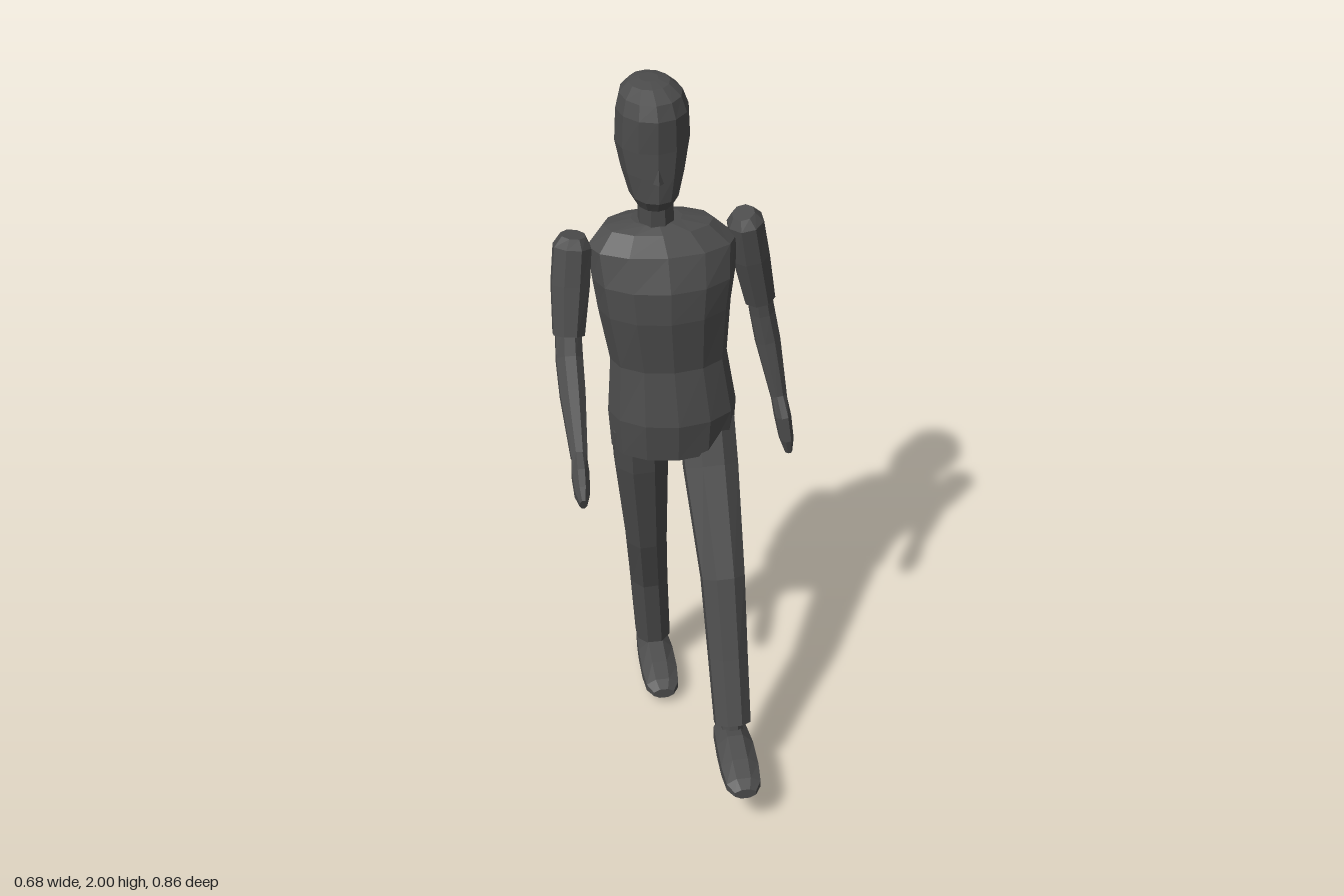
import * as THREE from 'three';

const cloth = new THREE.MeshStandardMaterial({ color: 0x4c4c4c, flatShading: true });
cloth.name = 'dark grey';

// Closed faceted skin over elliptical rings [x, y, z, radiusU, radiusV].
// Rings face along the path unless a fixed axis is given.
function loft(name, rings, sides, axis) {
  const pts = rings.map((r) => new THREE.Vector3(r[0], r[1], r[2]));
  const pos = [], index = [];
  const phase = Math.PI / sides, fit = sides === 8 ? 1 / Math.cos(phase) : 1;
  rings.forEach((r, i) => {
    const before = pts[Math.max(i - 1, 0)], after = pts[Math.min(i + 1, pts.length - 1)];
    const d = axis ? axis.clone() : after.clone().sub(before).normalize();
    const u = new THREE.Vector3(1, 0, 0).addScaledVector(d, -d.x).normalize();
    const v = d.clone().cross(u);
    for (let j = 0; j < sides; j++) {
      const a = (j / sides) * Math.PI * 2 + (sides === 8 ? phase : 0);
      const p = pts[i].clone()
        .addScaledVector(u, Math.cos(a) * r[3] * fit)
        .addScaledVector(v, Math.sin(a) * r[4] * fit);
      pos.push(p.x, p.y, p.z);
    }
  });
  const last = (rings.length - 1) * sides, c0 = rings.length * sides;
  pos.push(...pts[0].toArray(), ...pts[pts.length - 1].toArray());
  for (let j = 0; j < sides; j++) {
    const k = (j + 1) % sides;
    for (let i = 0; i < rings.length - 1; i++) {
      const a = i * sides + j, b = i * sides + k;
      index.push(a, b, b + sides, a, b + sides, a + sides);
    }
    index.push(c0, k, j, c0 + 1, last + j, last + k);
  }
  let g = new THREE.BufferGeometry();
  g.setAttribute('position', new THREE.Float32BufferAttribute(pos, 3));
  g.setIndex(index);
  g = g.toNonIndexed();
  g.computeVertexNormals();
  const mesh = new THREE.Mesh(g, cloth);
  mesh.name = name;
  return mesh;
}

// Shoe: octagonal rings from heel to toe, sloping to the sole
function shoe(name, x, heelZ, heelY, toeRise) {
  const profile = [ // along, bottom, top, half width
    [0, 0, 0.085, 0.035], [0.03, 0, 0.1, 0.046], [0.12, 0, 0.1, 0.052],
    [0.2, 0, 0.075, 0.053], [0.26, 0, 0.052, 0.048], [0.29, 0.003, 0.034, 0.03],
  ];
  const rings = profile.map(([s, lo, hi, w]) => [
    x, heelY + (lo + hi) / 2 + toeRise * s / 0.29, heelZ + s, w, (hi - lo) / 2]);
  return loft(name, rings, 8, new THREE.Vector3(0, 0, 1));
}

export function createModel() {
  const model = new THREE.Group();
  model.name = 'walkingFigure';
  const up = new THREE.Vector3(0, 1, 0);

  // Head, nose and neck
  model.add(loft('head', [
    [-0.055, 1.67, -0.205, 0.05, 0.07],
    [-0.055, 1.70, -0.205, 0.067, 0.09],
    [-0.055, 1.77, -0.217, 0.086, 0.1],
    [-0.055, 1.84, -0.23, 0.1, 0.11],
    [-0.055, 1.93, -0.23, 0.096, 0.112],
    [-0.057, 1.97, -0.235, 0.083, 0.102],
    [-0.06, 1.994, -0.245, 0.055, 0.066],
    [-0.06, 2.0, -0.25, 0.025, 0.03],
  ], 12, up));
  const nose = new THREE.Mesh(new THREE.ConeGeometry(0.022, 0.085, 4), cloth);
  nose.name = 'nose';
  nose.position.set(-0.055, 1.8, -0.129);
  model.add(nose);
  model.add(loft('neck', [
    [-0.048, 1.56, -0.225, 0.046, 0.046],
    [-0.05, 1.7, -0.22, 0.046, 0.046],
  ], 8, up));

  // Torso
  model.add(loft('torso', [
    [-0.012, 0.925, -0.185, 0.172, 0.112],
    [-0.012, 1.04, -0.187, 0.18, 0.126],
    [-0.02, 1.2, -0.195, 0.162, 0.107],
    [-0.03, 1.36, -0.197, 0.182, 0.126],
    [-0.03, 1.45, -0.203, 0.195, 0.126],
    [-0.032, 1.54, -0.222, 0.203, 0.108],
    [-0.04, 1.59, -0.235, 0.15, 0.085],
    [-0.045, 1.605, -0.235, 0.07, 0.055],
  ], 12, up));

  // Swung-forward right arm
  model.add(loft('rightUpperArm', [
    [-0.27, 1.572, -0.228, 0.032, 0.032],
    [-0.274, 1.54, -0.226, 0.05, 0.052],
    [-0.285, 1.44, -0.2, 0.051, 0.053],
    [-0.298, 1.31, -0.155, 0.042, 0.046],
  ], 8));
  model.add(loft('rightForearm', [
    [-0.298, 1.34, -0.165, 0.034, 0.036],
    [-0.302, 1.255, -0.12, 0.036, 0.042],
    [-0.304, 1.19, -0.04, 0.034, 0.04],
    [-0.306, 1.08, 0.1, 0.022, 0.023],
  ], 8));
  model.add(loft('rightHand', [
    [-0.306, 1.085, 0.095, 0.02, 0.025],
    [-0.308, 1.05, 0.14, 0.023, 0.041],
    [-0.31, 1.025, 0.19, 0.02, 0.036],
    [-0.311, 1.012, 0.222, 0.01, 0.018],
  ], 8));

  // Hanging left arm
  model.add(loft('leftUpperArm', [
    [0.19, 1.597, -0.233, 0.03, 0.032],
    [0.197, 1.57, -0.238, 0.048, 0.052],
    [0.215, 1.46, -0.25, 0.05, 0.052],
    [0.245, 1.315, -0.266, 0.042, 0.045],
  ], 8));
  model.add(loft('leftForearm', [
    [0.243, 1.34, -0.264, 0.032, 0.036],
    [0.254, 1.27, -0.27, 0.034, 0.04],
    [0.27, 1.18, -0.262, 0.034, 0.038],
    [0.299, 1.01, -0.226, 0.022, 0.024],
  ], 8));
  model.add(loft('leftHand', [
    [0.298, 1.015, -0.227, 0.021, 0.026],
    [0.307, 0.96, -0.208, 0.022, 0.042],
    [0.317, 0.89, -0.195, 0.019, 0.036],
    [0.323, 0.848, -0.188, 0.01, 0.018],
  ], 8));

  // Trailing right leg
  model.add(loft('rightLeg', [
    [-0.105, 0.99, -0.185, 0.076, 0.07],
    [-0.1, 0.86, -0.205, 0.074, 0.068],
    [-0.08, 0.55, -0.26, 0.058, 0.053],
    [-0.065, 0.36, -0.324, 0.054, 0.055],
    [-0.05, 0.115, -0.355, 0.05, 0.051],
  ], 8));
  model.add(loft('rightAnkle', [
    [-0.05, 0.16, -0.355, 0.03, 0.034],
    [-0.05, 0.07, -0.355, 0.03, 0.034],
  ], 8));
  model.add(shoe('rightShoe', -0.048, -0.428, 0.003, 0.02));

  // Leading left leg
  model.add(loft('leftLeg', [
    [0.083, 0.99, -0.18, 0.076, 0.062],
    [0.086, 0.87, -0.12, 0.075, 0.062],
    [0.094, 0.6, 0.045, 0.06, 0.055],
    [0.097, 0.38, 0.125, 0.054, 0.056],
    [0.098, 0.2, 0.205, 0.05, 0.05],
  ], 8));
  model.add(loft('leftAnkle', [
    [0.097, 0.25, 0.19, 0.03, 0.034],
    [0.097, 0.15, 0.215, 0.03, 0.034],
  ], 8));
  model.add(shoe('leftShoe', 0.096, 0.143, 0.087, 0.023));

  return model;
}
